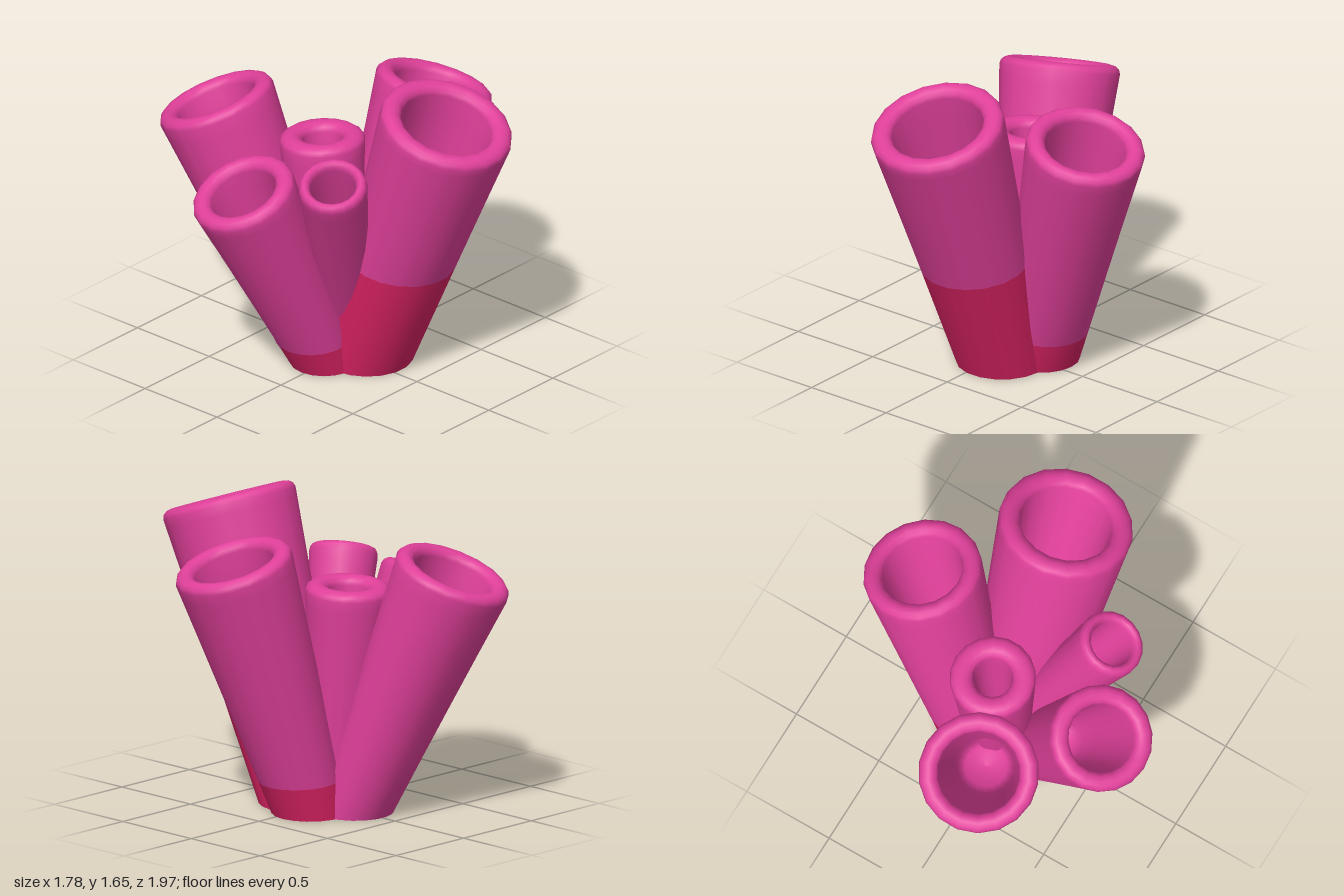
import * as THREE from 'three';

const SIDES = 18;
const UP = new THREE.Vector3(0, 1, 0);

// Closed rings of points joined into one smooth skin
function skin(rings) {
  const pos = [], index = [];
  rings.forEach(ring => ring.forEach(p => pos.push(p.x, p.y, p.z)));
  for (let i = 0; i < rings.length - 1; i++) {
    for (let j = 0; j < SIDES; j++) {
      const k = (j + 1) % SIDES;
      const a = i * SIDES + j, b = i * SIDES + k;
      const c = b + SIDES, d = a + SIDES;
      index.push(a, b, c, a, c, d);
    }
  }
  const g = new THREE.BufferGeometry();
  g.setAttribute('position', new THREE.Float32BufferAttribute(pos, 3));
  g.setIndex(index);
  g.computeVertexNormals();
  return g;
}

// Leaning hollow tube: level foot ring, mouth ring square to the axis
function makeTube({ name, base, top, r0, r1, wall, red }, pink, crimson) {
  const foot = new THREE.Vector3(base[0], 0, base[1]);
  const mouth = new THREE.Vector3(...top);
  const axis = mouth.clone().sub(foot).normalize();
  const tilt = new THREE.Quaternion().setFromUnitVectors(UP, axis);
  const lip = 0.045;
  mouth.addScaledVector(axis, -lip);

  const ring = (t, inset = 0, lift = 0) => {
    const centre = foot.clone().lerp(mouth, t).addScaledVector(axis, lift);
    const r = Math.max(THREE.MathUtils.lerp(r0, r1, t) - inset, 0);
    return Array.from({ length: SIDES }, (_, j) => {
      const phi = (j / SIDES) * Math.PI * 2;
      const out = new THREE.Vector3(Math.cos(phi), 0, -Math.sin(phi));
      const tilted = out.clone().applyQuaternion(tilt);
      return out.lerp(tilted, t).multiplyScalar(r).add(centre);
    });
  };

  const group = new THREE.Group();
  group.name = name;
  const add = (part, geometry, material) => {
    const mesh = new THREE.Mesh(geometry, material);
    mesh.name = part;
    group.add(mesh);
    return mesh;
  };

  // Coloured foot band
  if (red > 0) add('footBand', skin([ring(0), ring(red / 2), ring(red)]), crimson);

  // Outer wall, rounded lip, inner wall and floor of the hollow
  const rings = [0, 0.25, 0.5, 0.75, 0.95].map(s => ring(red + (1 - red) * s));
  for (let i = 0; i <= 6; i++) {
    const a = (i / 6) * Math.PI;
    rings.push(ring(1, (wall / 2) * (1 - Math.cos(a)), lip * Math.sin(a)));
  }
  for (const t of [0.93, 0.75, 0.55, 0.4]) rings.push(ring(t, wall));
  rings.push(ring(0.35, wall * 1.3), ring(0.34, 1));
  add('tubeWall', skin(rings), pink);

  // Underside
  const cap = add('underside', new THREE.CircleGeometry(r0, SIDES), red > 0 ? crimson : pink);
  cap.rotation.x = Math.PI / 2;
  cap.position.copy(foot);
  return group;
}

export function createModel() {
  const pink = new THREE.MeshStandardMaterial({ color: 0xe0409a });
  pink.name = 'pink';
  const crimson = new THREE.MeshStandardMaterial({ color: 0xd82262 });
  crimson.name = 'crimson';

  // base is [x, z] on the ground, top is the centre of the mouth
  const tubes = [
    { name: 'frontTube', base: [0.05, 0.11], top: [0.06, 1.55, 0.665], r0: 0.24, r1: 0.355, wall: 0.11, red: 0.43 },
    { name: 'leftTube', base: [0.18, -0.055], top: [0.605, 1.4, 0.095], r0: 0.2, r1: 0.315, wall: 0.1, red: 0.135 },
    { name: 'backTube', base: [0, -0.21], top: [-0.23, 1.345, -0.71], r0: 0.2, r1: 0.315, wall: 0.1, red: 0 },
    { name: 'rightTube', base: [-0.14, -0.02], top: [-0.65, 1.145, -0.145], r0: 0.18, r1: 0.28, wall: 0.1, red: 0.14 },
    { name: 'smallTube', base: [0.05, 0], top: [-0.44, 1.25, 0.305], r0: 0.11, r1: 0.18, wall: 0.06, red: 0 },
    { name: 'centreTube', base: [0.01, -0.1], top: [0.01, 1.22, -0.17], r0: 0.15, r1: 0.225, wall: 0.12, red: 0 },
  ];

  const model = new THREE.Group();
  model.name = 'tubeCluster';
  tubes.forEach(t => model.add(makeTube(t, pink, crimson)));
  return model;
}
